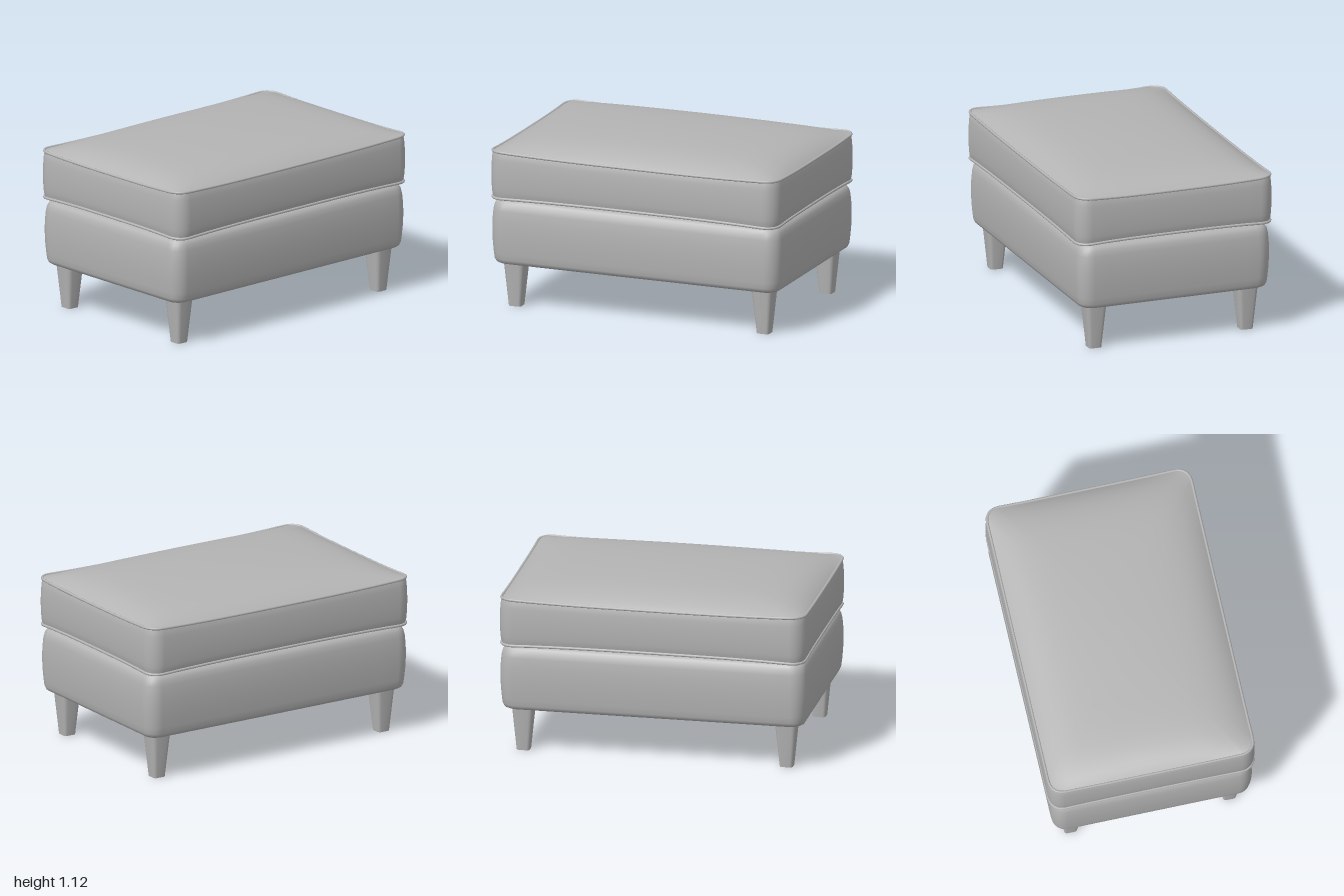
import * as THREE from 'three';
import { toCreasedNormals } from 'three/addons/utils/BufferGeometryUtils.js';

// Rounded rectangle in the xz plane, with extra points along its straight sides
function roundedLoop(hw, hd, r, corner = 6, side = 14) {
  const pts = [];
  const signs = [[1, 1], [-1, 1], [-1, -1], [1, -1]];
  for (let q = 0; q < 4; q++) {
    const [sx, sz] = signs[q];
    for (let i = 0; i <= corner; i++) {
      const a = (q + i / corner) * Math.PI / 2;
      pts.push([sx * (hw - r) + r * Math.cos(a), sz * (hd - r) + r * Math.sin(a)]);
    }
    const [ex, ez] = pts[pts.length - 1];
    const [nx, nz] = signs[(q + 1) % 4];
    const a = (q + 1) * Math.PI / 2;
    const tx = nx * (hw - r) + r * Math.cos(a), tz = nz * (hd - r) + r * Math.sin(a);
    for (let i = 1; i < side; i++) {
      const t = i / side;
      pts.push([ex + (tx - ex) * t, ez + (tz - ez) * t]);
    }
  }
  return pts;
}

// Skin a stack of loops, ordered from bottom to top; each loop is a list of [x, y, z]
function skin(loops) {
  const n = loops[0].length, index = [];
  for (let j = 0; j < loops.length - 1; j++) {
    for (let i = 0; i < n; i++) {
      const a = j * n + i, b = j * n + (i + 1) % n;
      index.push(a, a + n, b, b, a + n, b + n);
    }
  }
  const g = new THREE.BufferGeometry();
  g.setAttribute('position', new THREE.Float32BufferAttribute(loops.flat(2), 3));
  g.setIndex(index);
  g.computeVertexNormals();
  return g;
}

const level = (hw, hd, r, y, lift = () => 0) =>
  roundedLoop(hw, hd, r).map(([x, z]) => [x, y + lift(x, z), z]);

const W = 0.98, D = 0.66, R = 0.085;     // cushion seam outline
const TOP = 1.02, LOW = 0.738;           // seam heights

// Seam corners are pulled slightly away from the cushion's middle
const cornerPull = (x, z) => 0.014 * Math.min(1, Math.abs(x / W) ** 3 * Math.abs(z / D) ** 3);
const fall = (u, p) => Math.max(0, 0.7 * (1 - Math.abs(u) ** p) + 0.3 * (1 - u * u));
const puff = (x, z) => fall(x / W, 10) * fall(z / D, 6);

export function createModel() {
  const model = new THREE.Group();
  const fabric = new THREE.MeshStandardMaterial({ color: 0xb4b4b4 });
  fabric.name = 'greyUpholstery';
  const add = (name, geometry, parent = model) => {
    const mesh = new THREE.Mesh(geometry, fabric);
    mesh.name = name;
    parent.add(mesh);
    return mesh;
  };

  // Cushion: bulging border, domed top and shallow underside
  const cushion = new THREE.Group();
  cushion.name = 'cushion';
  model.add(cushion);
  const border = [];
  for (let i = 0; i <= 12; i++) {
    const t = i / 12, bulge = 0.014 * Math.sqrt(Math.sin(Math.PI * t));
    border.push(level(W + bulge, D + bulge, R + bulge, LOW + (TOP - LOW) * t,
      (x, z) => (2 * t - 1) * cornerPull(x, z)));
  }
  add('cushionBorder', skin(border), cushion);

  const outline = roundedLoop(W, D, R);
  const rings = [1, 0.985, 0.965, 0.94, 0.91, 0.87, 0.82, 0.75, 0.65, 0.5, 0.3, 0.12, 0];
  const panel = (base, height, sign) => rings.map(s => outline.map(([x, z]) => [
    x * s, base + sign * (height * puff(x * s, z * s) + cornerPull(x * s, z * s)), z * s]));
  add('cushionTop', skin(panel(TOP, 0.104, 1)), cushion);
  add('cushionUnderside', skin(panel(LOW, 0.05, -1).reverse()), cushion);

  // Piping along both seams
  for (const [name, y, sign] of [['topPiping', TOP, 1], ['bottomPiping', LOW, -1]]) {
    const path = new THREE.CatmullRomCurve3(
      level(W + 0.003, D + 0.003, R, y, (x, z) => sign * cornerPull(x, z))
        .map(p => new THREE.Vector3(...p)), true);
    add(name, new THREE.TubeGeometry(path, 240, 0.009, 8, true), cushion);
  }

  // Upholstered base with softly rounded edges: [inset, height]
  const profile = [
    [0.06, 0.287], [0.04, 0.29], [0.023, 0.3], [0.014, 0.32], [0.009, 0.36], [0.003, 0.43],
    [0, 0.51], [0.002, 0.58], [0.007, 0.64], [0.015, 0.675], [0.028, 0.696], [0.048, 0.708], [0.075, 0.713],
  ];
  const BW = 0.994, BD = 0.656;
  const body = profile.map(([inset, y]) => level(BW - inset, BD - inset, 0.095 - inset * 0.6, y));
  const centre = y => outline.map(() => [0, y, 0]);
  add('base', skin([centre(0.292), ...body, centre(0.713)]));

  // Tapered legs with a rounded square section
  const section = (h, r, y) => roundedLoop(h, r, r, 4, 1).map(([x, z]) => [x, y, z]);
  const square = (h, r, y) => roundedLoop(h, h, r, 4, 1).map(([x, z]) => [x, y, z]);
  const foot = section(0.04, 0.02, 0).map(() => [0, 0, 0]);
  const legGeometry = toCreasedNormals(
    skin([foot, square(0.042, 0.018, 0), square(0.071, 0.03, 0.31)]), 0.7);
  for (const [sx, side] of [[1, 'Left'], [-1, 'Right']]) {
    for (const [sz, end] of [[1, 'front'], [-1, 'back']]) {
      add(`${end}${side}Leg`, legGeometry).position.set(sx * 0.852, 0, sz * 0.516);
    }
  }
  return model;
}
